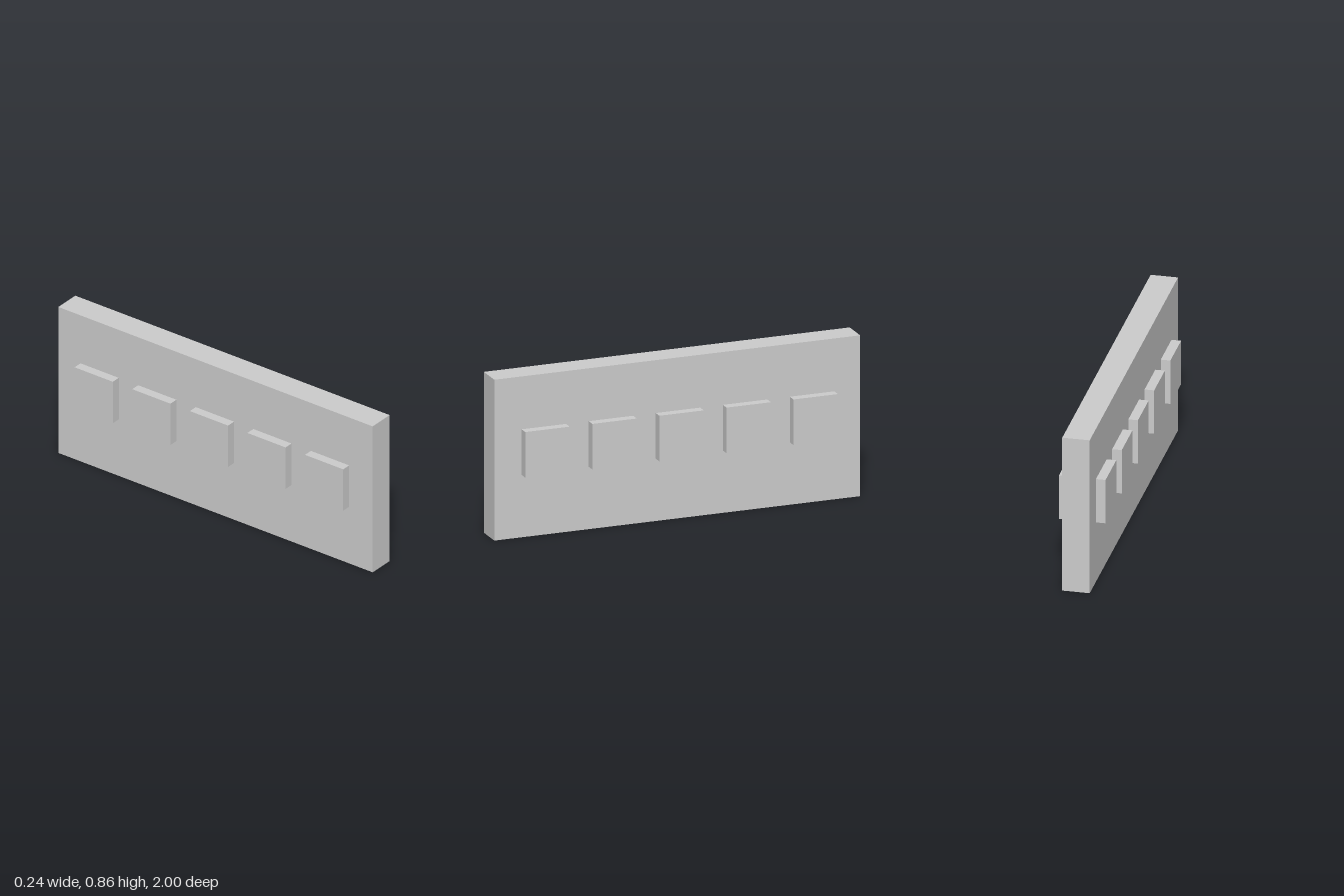
import * as THREE from 'three';

export function createModel() {
  const group = new THREE.Group();
  const material = new THREE.MeshStandardMaterial({ color: 0xcccccc, flatShading: true });

  function addBox(name, size, position) {
    const mesh = new THREE.Mesh(new THREE.BoxGeometry(...size), material);
    mesh.name = name;
    mesh.position.set(...position);
    group.add(mesh);
  }

  // Upright wall slab, long along z
  const wallHeight = 0.857;
  addBox('wall', [0.143, wallHeight, 2], [0, wallHeight / 2, 0]);

  // Row of cubes set through the wall, standing proud on both sides
  const cube = 0.243;
  const spacing = 0.3665;
  for (let i = -2; i <= 2; i++) {
    addBox(`block${i + 3}`, [cube, cube, cube], [0, 0.454, i * spacing - 0.004]);
  }

  return group;
}
